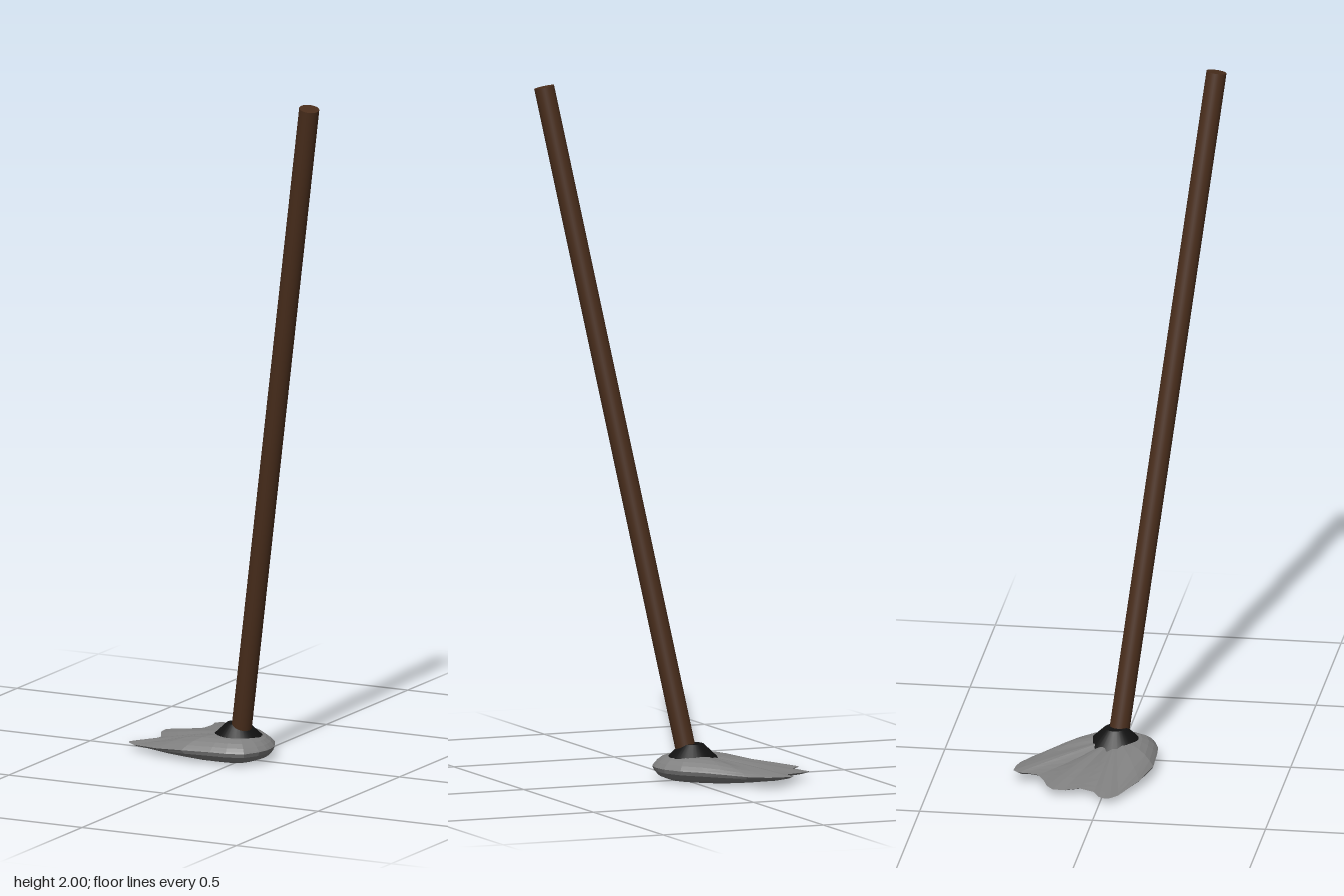
import * as THREE from 'three';

const mat = (color, extra = {}) => new THREE.MeshStandardMaterial({ color, ...extra });

// Rim of the mop head seen from above (x, z), counterclockwise from the heel
const RIM = [
  [0.083, 0], [0.078, -0.035], [0.05, -0.09], [0, -0.14], [-0.05, -0.186], [-0.1, -0.231],
  [-0.15, -0.26], [-0.18, -0.268], [-0.217, -0.27], [-0.232, -0.255], [-0.228, -0.23],
  [-0.235, -0.195], [-0.27, -0.175], [-0.31, -0.16], [-0.332, -0.14], [-0.33, -0.11],
  [-0.305, -0.065], [-0.32, -0.022], [-0.355, -0.003], [-0.365, 0.015], [-0.36, 0.03],
  [-0.335, 0.05], [-0.235, 0.096], [-0.14, 0.123], [-0.05, 0.121], [0, 0.117],
  [0.05, 0.1], [0.075, 0.055], [0.083, 0.02],
];
const GROOVES = [[-0.235, -0.195], [-0.305, -0.06]]; // notches between the strands
const CX = -0.03;

// Cloth head: shrinking copies of the rim, thick at the heel and thin at the tips
function headGeometry() {
  const rows = [];
  for (const t of [0, 0.25, 0.45, 0.62, 0.78, 0.9, 0.97, 1]) rows.push([t, true]);
  for (const t of [0.96, 0.85, 0.6, 0.3, 0]) rows.push([t, false]);
  const pos = [], index = [], n = RIM.length;
  for (const [t, top] of rows) {
    for (const [x, z] of RIM) {
      const reach = Math.hypot(x - CX, z);
      const thin = THREE.MathUtils.smoothstep(reach, 0.12, 0.31);
      const edge = THREE.MathUtils.lerp(0.042, 0.02 + 0.05 * Math.max(0, -z - 0.02) * 1.2, thin);
      const power = THREE.MathUtils.lerp(4.5, 1.25, thin);
      let y;
      if (top) {
        y = edge + (0.078 - edge) * (1 - t ** power);
        // Creases running inward from each notch
        for (const [gx, gz] of GROOVES) {
          const d = Math.hypot(x - gx, z - gz);
          y -= 0.011 * Math.exp(-((d / 0.035) ** 2)) * Math.sin(Math.PI * Math.min(1, t));
        }
      } else {
        y = 0.004 + (edge - 0.004) * t ** (power + 2) * 0.9;
      }
      pos.push(CX + (x - CX) * t, y, z * t);
    }
  }
  for (let r = 0; r < rows.length - 1; r++) {
    for (let i = 0; i < n; i++) {
      const j = (i + 1) % n, a = r * n, b = a + n;
      if (r > 0) index.push(a + i, b + i, a + j);
      if (r < rows.length - 2) index.push(b + i, b + j, a + j);
      if (r === 0) index.push(a + i, b + i, b + j);
    }
  }
  // Close the last ring to the centre of the underside
  const geo = new THREE.BufferGeometry();
  geo.setAttribute('position', new THREE.Float32BufferAttribute(pos, 3));
  geo.setIndex(index);
  geo.computeVertexNormals();
  return geo;
}

export function createModel() {
  const group = new THREE.Group();
  const add = (name, geometry, material) => {
    const mesh = new THREE.Mesh(geometry, material);
    mesh.name = name;
    group.add(mesh);
    return mesh;
  };

  add('mopHead', headGeometry(), mat(0x808080, { flatShading: true }));

  // Black collar joining head and handle
  add('collar', new THREE.CylinderGeometry(0.032, 0.08, 0.045, 32), mat(0x111111))
    .position.set(-0.025, 0.085, -0.003);
  group.children[1].geometry.translate(0, 0, 0);

  // Leaning wooden handle
  const from = new THREE.Vector3(-0.01, 0.08, 0.004);
  const to = new THREE.Vector3(0.333, 1.994, 0.237);
  const dir = to.clone().sub(from);
  const handle = add('handle', new THREE.CylinderGeometry(0.029, 0.029, dir.length(), 32), mat(0x4a2e1c));
  handle.position.copy(from).add(to).multiplyScalar(0.5);
  handle.quaternion.setFromUnitVectors(new THREE.Vector3(0, 1, 0), dir.normalize());

  return group;
}
